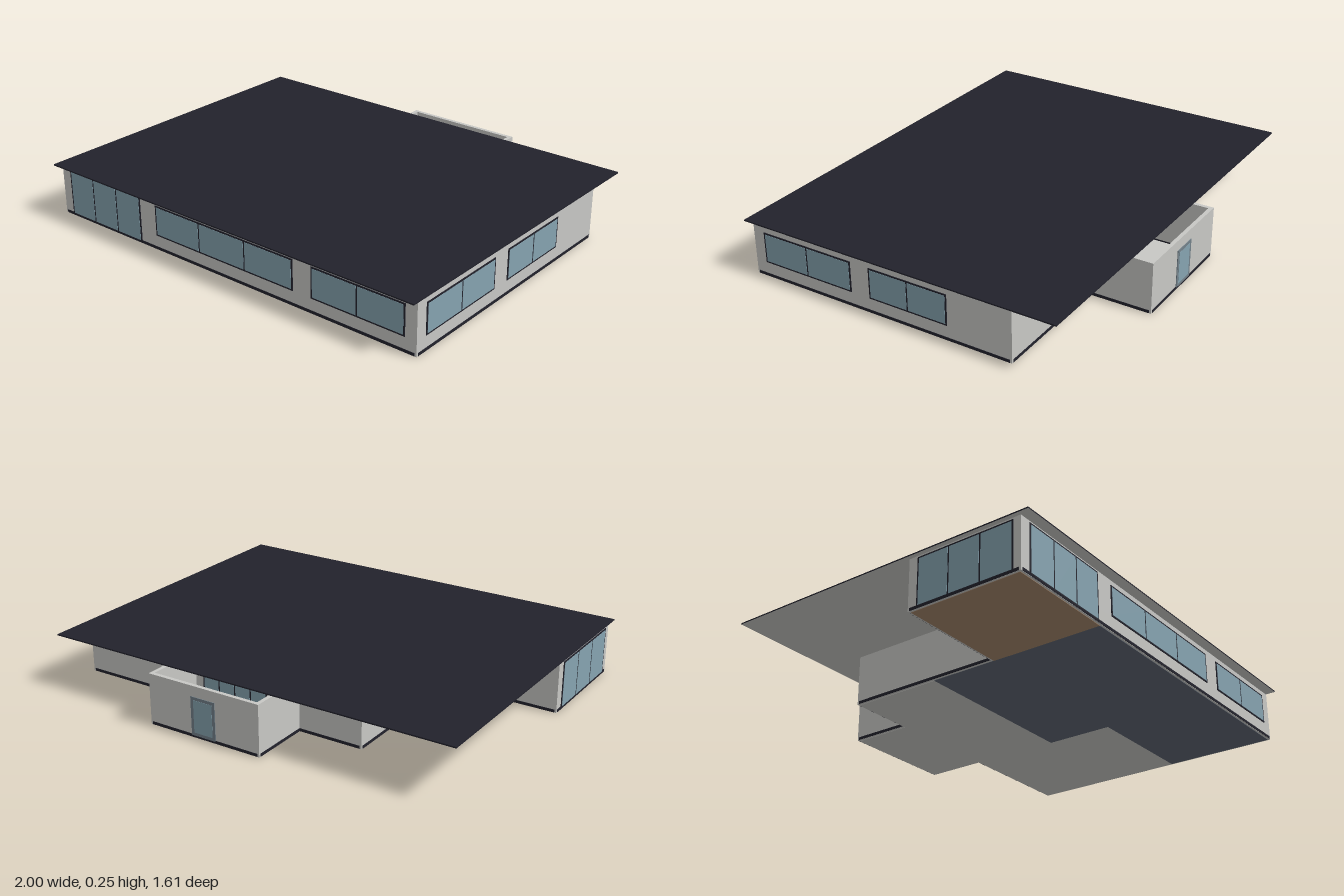
import * as THREE from 'three';

const T = 0.018; // wall thickness
const mat = (name, color) => {
  const m = new THREE.MeshStandardMaterial({ color });
  m.name = name;
  return m;
};

export function createModel() {
  const house = new THREE.Group();
  house.name = 'house';
  const plaster = mat('light grey plaster', 0xc8c8c5);
  const dark = mat('dark roof and frames', 0x22222c);
  const glass = mat('blue glass', 0x86a3b0);
  const carpet = mat('slate carpet', 0x5f6672);
  const wood = mat('brown wood floor', 0xa4866b);
  const doorBlue = mat('door trim', 0x73818a);

  // Box given by its limits
  function box(parent, name, material, x0, x1, y0, y1, z0, z1) {
    const m = new THREE.Mesh(new THREE.BoxGeometry(x1 - x0, y1 - y0, z1 - z0), material);
    m.position.set((x0 + x1) / 2, (y0 + y1) / 2, (z0 + z1) / 2);
    m.name = name;
    parent.add(m);
    return m;
  }

  // Floors of the rooms: material, x0, x1, z0, z1
  const floors = new THREE.Group();
  floors.name = 'floors';
  house.add(floors);
  [
    [plaster, 0.4, 0.98, -0.52, 0.23],
    [plaster, -0.46, 0.4, -0.52, -0.09],
    [plaster, -0.155, 0.39, -0.8, -0.52],
    [carpet, -0.46, 0.98, 0.23, 0.75],
    [carpet, -0.46, 0.4, -0.09, 0.23],
    [wood, -0.98, -0.46, 0.23, 0.75],
  ].forEach(([m, x0, x1, z0, z1]) => box(floors, 'floor', m, x0, x1, 0, 0.01, z0, z1));

  // Walls along centre lines, each with a dark base strip
  const walls = new THREE.Group();
  walls.name = 'walls';
  house.add(walls);
  function wall(xa, za, xb, zb) {
    const x0 = Math.min(xa, xb), x1 = Math.max(xa, xb);
    const z0 = Math.min(za, zb), z1 = Math.max(za, zb);
    const h = T / 2, alongX = z0 === z1;
    // walls along z stop between the walls along x
    const e = alongX ? h : -h;
    box(walls, 'wall', plaster, x0 - h, x1 + h, 0.002, 0.235, z0 - (alongX ? h : e), z1 + (alongX ? h : e));
    const p = h + 0.002;
    box(walls, 'baseStrip', dark, x0 - (alongX ? 0 : p), x1 + (alongX ? 0 : p), 0.003, 0.016,
      z0 - (alongX ? p : 0), z1 + (alongX ? p : 0));
  }
  const outline = [
    [-0.98, 0.75], [0.98, 0.75], [0.98, -0.516], [0.39, -0.516], [0.39, -0.8],
    [-0.155, -0.8], [-0.155, -0.516], [-0.46, -0.516], [-0.46, 0.23], [-0.98, 0.23],
  ];
  outline.forEach((a, i) => wall(...a, ...outline[(i + 1) % outline.length]));
  wall(-0.155, -0.516, 0.39, -0.516); // between porch and house

  // Glazed unit set through a wall; 'at' is the wall centre line
  function glazing(name, axis, at, a, b, y0, y1, panes, frameMat = dark, bar = 0.007) {
    const unit = new THREE.Group();
    unit.name = name;
    house.add(unit);
    const part = (n, m, u0, u1, v0, v1, d) => (axis === 'x'
      ? box(unit, n, m, u0, u1, v0, v1, at - d, at + d)
      : box(unit, n, m, at - d, at + d, v0, v1, u0, u1));
    part('frame', frameMat, a, b, y0, y1, T / 2 + 0.003);
    const w = (b - a - bar) / panes;
    for (let i = 0; i < panes; i++) {
      part('pane', glass, a + bar + i * w, a + (i + 1) * w, y0 + bar, y1 - bar, T / 2 + 0.004);
    }
  }
  glazing('frontSlidingDoor', 'x', 0.75, -0.937, -0.483, 0.008, 0.227, 3);
  glazing('frontWideWindow', 'x', 0.75, -0.388, 0.386, 0.07, 0.211, 3);
  glazing('frontSmallWindow', 'x', 0.75, 0.48, 0.935, 0.07, 0.211, 2);
  glazing('sideWindowFront', 'z', 0.98, 0.245, 0.703, 0.07, 0.211, 2);
  glazing('sideWindowBack', 'z', 0.98, -0.227, 0.153, 0.07, 0.211, 2);
  glazing('sideSlidingDoor', 'z', -0.98, 0.265, 0.725, 0.008, 0.227, 3);
  glazing('innerPorchDoor', 'x', -0.516, 0.0, 0.34, 0.01, 0.21, 4);
  glazing('backDoor', 'x', -0.8, 0.055, 0.178, 0.012, 0.187, 1, doorBlue, 0.014);

  // Thin flat roof: dark on top and edges, plaster underneath
  const roof = box(house, 'roof', dark, -1, 1, 0.242, 0.248, -0.725, 0.8);
  roof.material = [dark, dark, dark, plaster, dark, dark];

  return house;
}
